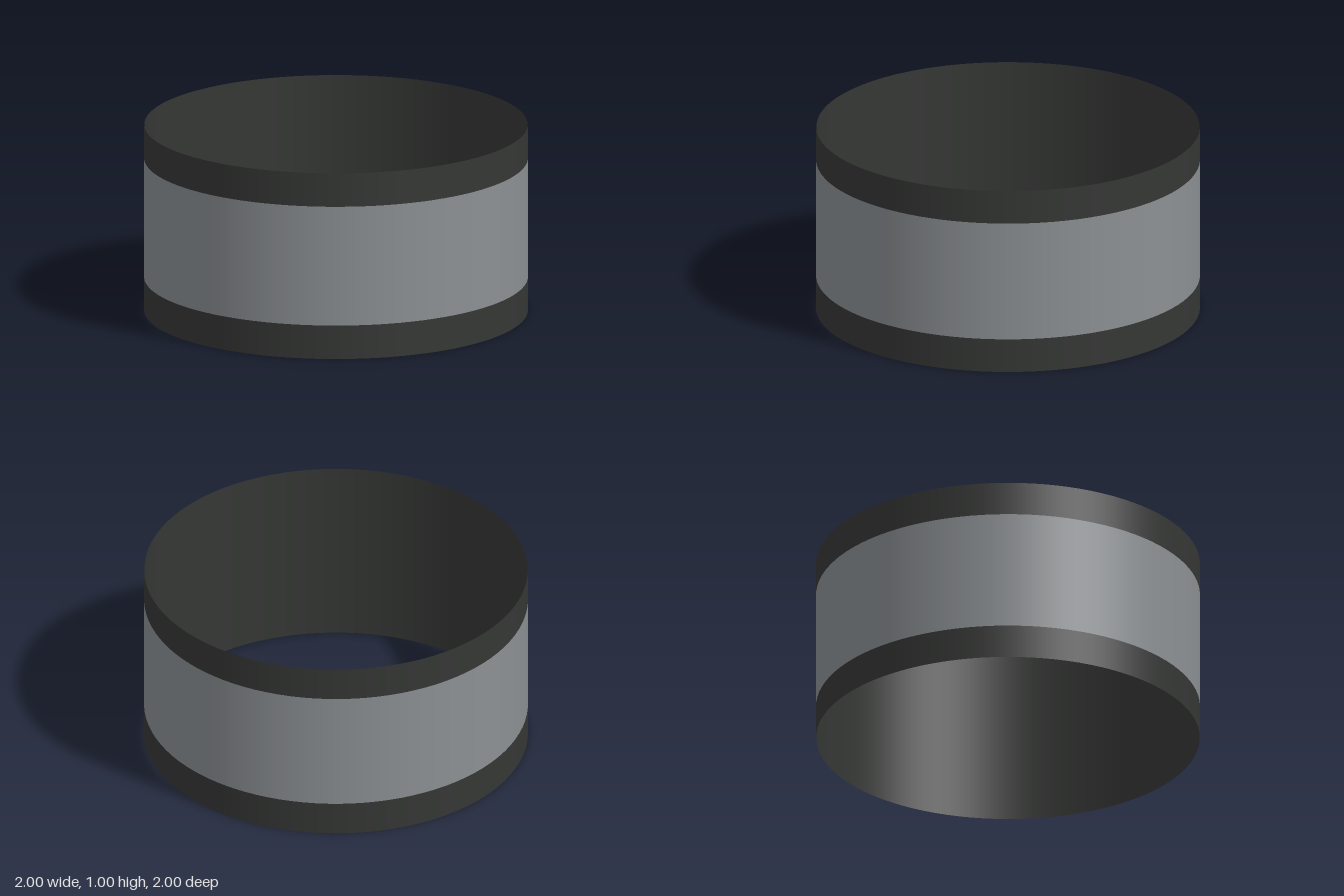
import * as THREE from 'three';

const RADIUS = 1, HEIGHT = 1, TRIM = 0.18, SIDES = 96;

export function createModel() {
  const group = new THREE.Group();
  group.name = 'openRing';

  const dark = new THREE.MeshStandardMaterial({ color: 0x353735 });
  const grey = new THREE.MeshStandardMaterial({ color: 0x8c9093 });
  const inside = new THREE.MeshStandardMaterial({ color: 0x353735, side: THREE.BackSide });

  // Open cylinder wall between two heights
  const addWall = (name, bottom, top, radius, material) => {
    const geometry = new THREE.CylinderGeometry(radius, radius, top - bottom, SIDES, 1, true);
    const mesh = new THREE.Mesh(geometry, material);
    mesh.position.y = (bottom + top) / 2;
    mesh.name = name;
    group.add(mesh);
  };

  // Outer bands
  addWall('lowerTrim', 0, TRIM, RADIUS, dark);
  addWall('middleBand', TRIM, HEIGHT - TRIM, RADIUS, grey);
  addWall('upperTrim', HEIGHT - TRIM, HEIGHT, RADIUS, dark);

  // Dark lining, seen only from inside
  addWall('innerLining', 0, HEIGHT, RADIUS - 0.002, inside);

  return group;
}
